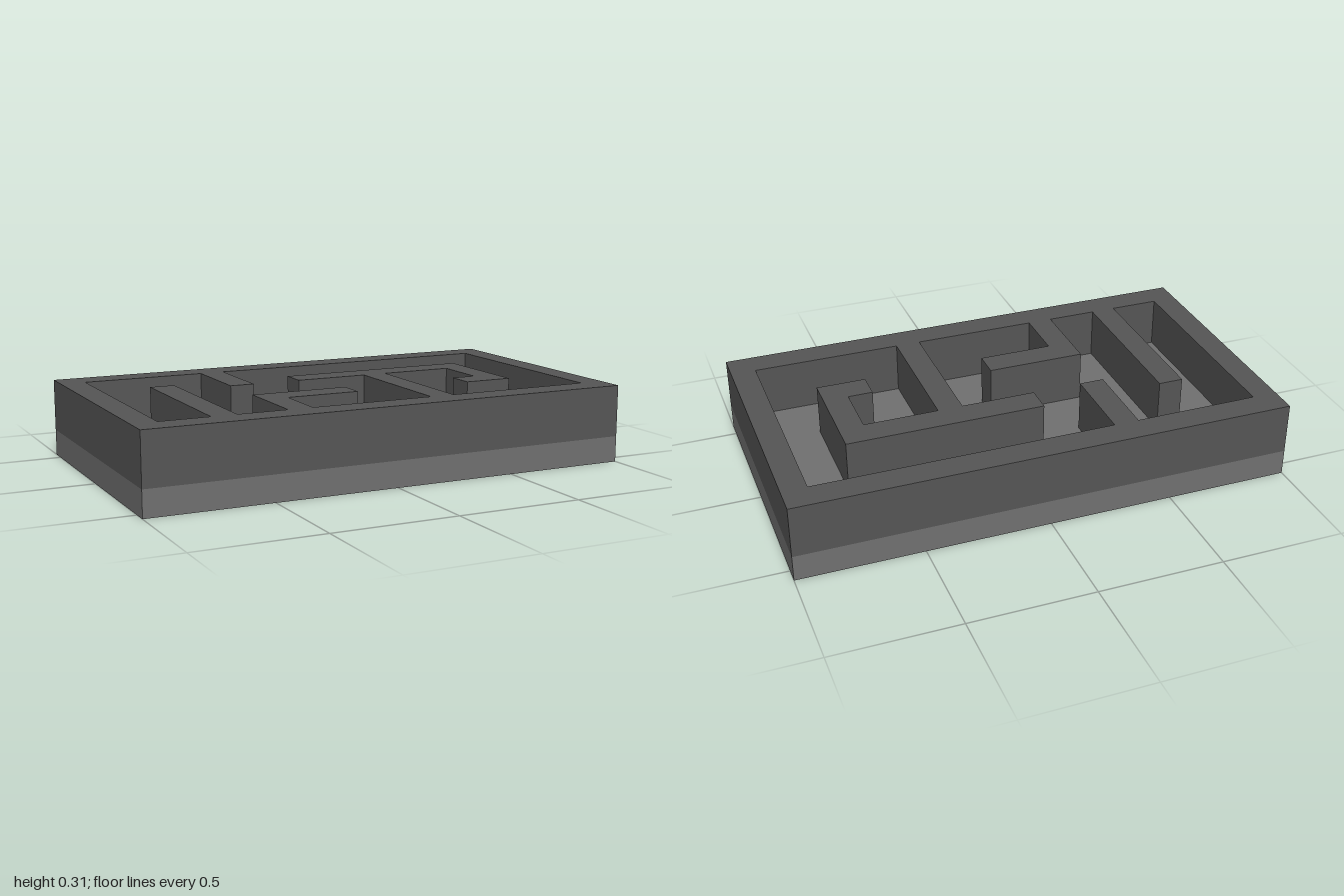
import * as THREE from 'three';

// Plan grid: 20 x 10 cells
const CX = 0.1, CZ = 0.112, BASE = 0.105, WALL = 0.208;

const toPlan = (cells) => cells.map(([i, j]) => new THREE.Vector2((i - 10) * CX, (5 - j) * CZ));

// Full rectangular slab with one cut-out, standing on y
function slab(name, cutout, y, height, color) {
  const shape = new THREE.Shape(toPlan([[0, 10], [20, 10], [20, 0], [0, 0]]));
  shape.holes.push(new THREE.Path(toPlan(cutout)));
  const geometry = new THREE.ExtrudeGeometry(shape, { depth: height, bevelEnabled: false });
  geometry.rotateX(-Math.PI / 2);
  geometry.translate(0, y, 0);
  const mesh = new THREE.Mesh(geometry, new THREE.MeshStandardMaterial({ color, flatShading: true }));
  mesh.name = name;
  return mesh;
}

export function createModel() {
  const group = new THREE.Group();
  group.name = 'mazeTray';

  // Floor plate with the square drop hole
  const dropHole = [[14, 4], [16, 4], [16, 6], [14, 6]];
  group.add(slab('floorPlate', dropHole, 0, BASE, 0x707070));

  // Maze walls: everything outside the winding corridor
  const corridor = [
    [1, 1], [6, 1], [6, 4], [7, 4], [7, 1], [19, 1], [19, 9],   // back stub, right side
    [13, 9], [13, 4], [16, 4], [16, 6], [15, 6], [15, 7],       // hook around the drop hole
    [17, 7], [17, 3], [9, 3], [9, 4], [12, 4], [12, 9],         // long bar and its stem
    [7, 9], [7, 7], [10, 7], [10, 6], [6, 6], [6, 9],           // front angle wall
    [4, 9], [4, 3], [3, 3], [3, 9], [1, 9],                     // left straight wall
  ];
  group.add(slab('mazeWalls', corridor, BASE, WALL, 0x555555));

  return group;
}
